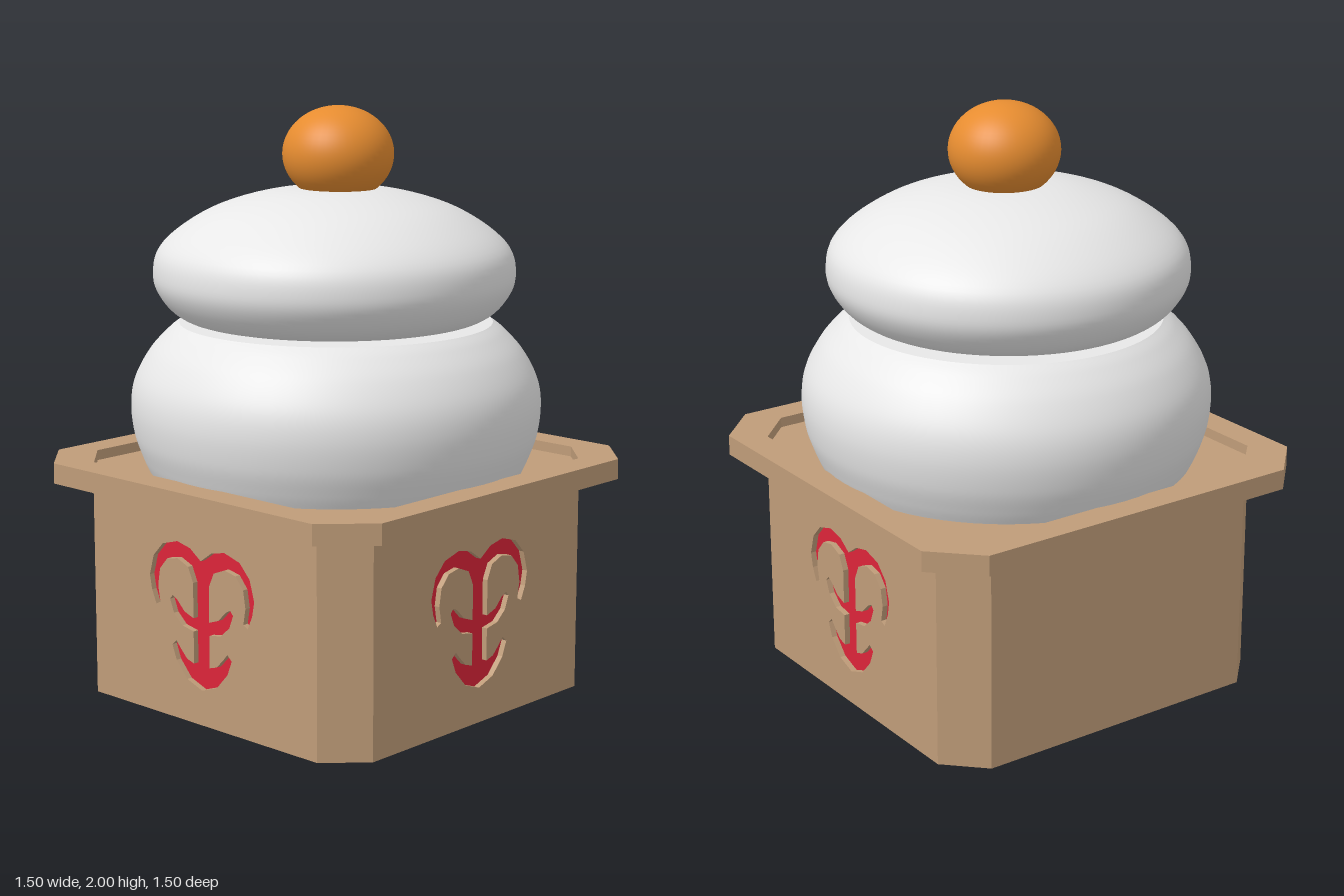
import * as THREE from 'three';

const material = (name, color) => new THREE.MeshStandardMaterial({ name, color });

// Square with cut corners, flat edges running to +-c
function octagon(Type, h, c) {
  const p = [[h, -c], [h, c], [c, h], [-c, h], [-h, c], [-h, -c], [-c, -h], [c, -h]];
  return new Type(p.map(([x, y]) => new THREE.Vector2(x, y)));
}

// Right half of the curled ornament, mirrored into a closed outline
function ornament() {
  const half = [[0, .56], [.05, .595], [.11, .608], [.18, .588], [.225, .54], [.245, .47], [.235, .42], [.215, .375],
    [.195, .385], [.205, .44], [.195, .5], [.16, .54], [.11, .55], [.06, .53], [.037, .48], [.037, .36],
    [.08, .375], [.115, .41], [.135, .42], [.148, .405], [.13, .36], [.09, .325], [.037, .315], [.037, .205],
    [.07, .215], [.1, .245], [.12, .268], [.14, .25], [.12, .2], [.07, .145], [0, .12]];
  const mirrored = half.slice(1, -1).reverse().map(([x, y]) => [-x, y]);
  return new THREE.Path([...half, ...mirrored].map(([x, y]) => new THREE.Vector2(x, y)));
}

export function createModel() {
  const model = new THREE.Group();
  const wood = material('wood', 0xbf9c79);
  const red = material('red', 0xdc2439);
  const white = material('rice white', 0xe8e8e8);
  const orange = material('orange', 0xe68c30);
  const black = material('black', 0x2a2a2a);

  function add(name, geometry, mat, parent = model) {
    const mesh = new THREE.Mesh(geometry, mat);
    mesh.name = name;
    parent.add(mesh);
    return mesh;
  }

  // Stand: four walls and four corner strips, three walls pierced by the ornament
  const stand = new THREE.Group();
  stand.name = 'stand';
  model.add(stand);
  const H = 0.645, C = 0.52, T = 0.02, wallTop = 0.745;
  function wall(name, width, distance, angle, pierced) {
    const w = width / 2;
    const shape = new THREE.Shape([[-w, 0], [w, 0], [w, wallTop], [-w, wallTop]].map(([x, y]) => new THREE.Vector2(x, y)));
    if (pierced) shape.holes.push(ornament());
    const geo = new THREE.ExtrudeGeometry(shape, { depth: T, bevelEnabled: false });
    geo.translate(0, 0, distance - T);
    add(name, geo, wood, stand).rotation.y = angle;
  }
  const names = ['frontWall', 'leftWall', 'backWall', 'rightWall'];
  names.forEach((name, i) => {
    wall(name, 2 * C, H, i * Math.PI / 2, i !== 2);
    wall('cornerStrip', (H - C) * Math.SQRT2, (H + C) / Math.SQRT2, (i + 0.5) * Math.PI / 2, false);
  });

  // Red backing plates behind the pierced walls: angle, distance, half width, bottom
  const plates = [[0, 0.56, 0.437, 0.05], [Math.PI / 2, 0.59, 0.364, 0.09], [-Math.PI / 2, 0.618, 0.364, 0.09]];
  for (const [angle, distance, half, bottom] of plates) {
    const geo = new THREE.BoxGeometry(2 * half, 0.74 - bottom, 0.008);
    geo.translate(0, (0.74 + bottom) / 2, distance);
    add('backingPlate', geo, red, stand).rotation.y = angle;
  }

  // Tray with a raised rim and a sunken floor
  function slab(shape, bottom, top) {
    const geo = new THREE.ExtrudeGeometry(shape, { depth: top - bottom, bevelEnabled: false });
    return geo.rotateX(-Math.PI / 2).translate(0, bottom, 0);
  }
  const rim = octagon(THREE.Shape, 0.75, 0.6);
  rim.holes.push(octagon(THREE.Path, 0.645, 0.515));
  add('trayRim', slab(rim, 0.74, 0.81), wood);
  add('trayFloor', slab(octagon(THREE.Shape, 0.645, 0.515), 0.74, 0.775), wood);

  // Rounded cakes turned from smooth profiles
  function cake(name, points) {
    const curve = new THREE.SplineCurve(points.map(([r, y]) => new THREE.Vector2(r, y)));
    return add(name, new THREE.LatheGeometry(curve.getPoints(48), 72), white);
  }
  cake('lowerCake', [[.635, .77], [.658, .82], [.685, .9], [.696, 1], [.68, 1.09], [.63, 1.18], [.57, 1.245], [.53, 1.276]]);
  const lid = new THREE.CircleGeometry(0.53, 72).rotateX(-Math.PI / 2).translate(0, 1.276, 0);
  add('lowerCakeTop', lid, white);
  cake('upperCake', [[0, 1.278], [.3, 1.279], [.46, 1.284], [.54, 1.315], [.594, 1.38], [.61, 1.445], [.59, 1.525],
    [.51, 1.6], [.38, 1.67], [.2, 1.718], [0, 1.732]]).position.x = -0.008;

  // Fruit on top
  const fruit = add('fruit', new THREE.SphereGeometry(1, 48, 32), orange);
  fruit.scale.set(0.187, 0.16, 0.187);
  fruit.position.set(0.002, 1.84, 0.008);

  // Two small legs hanging inside the hollow stand
  for (const side of [-1, 1]) {
    const leg = add('leg', new THREE.CylinderGeometry(0.05, 0.06, 0.4, 20), white);
    leg.position.set(side * 0.18, 0.55, 0);
    const foot = add('foot', new THREE.CylinderGeometry(0.075, 0.065, 0.06, 20), black);
    foot.position.set(side * 0.18, 0.335, 0);
  }
  return model;
}
